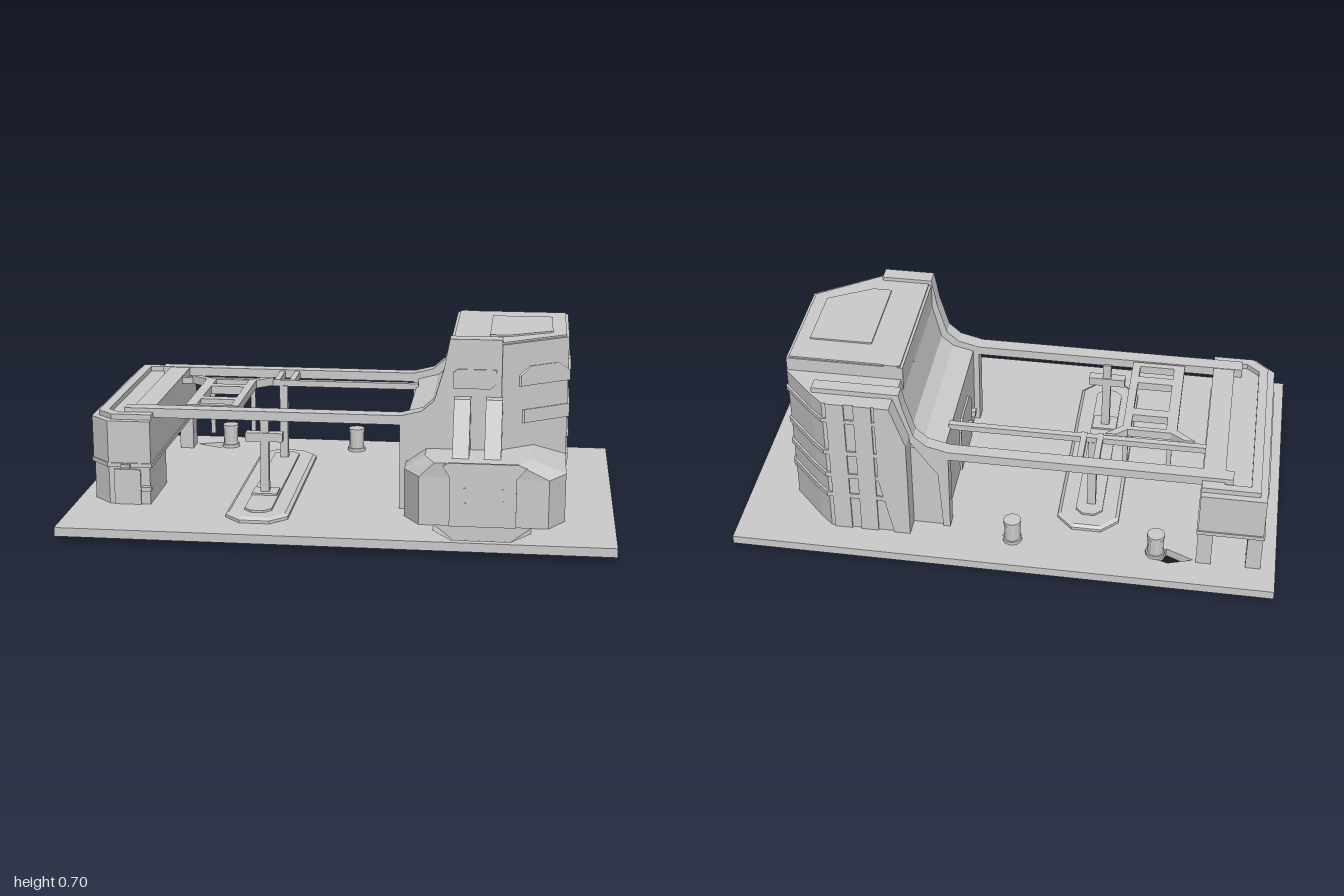
import * as THREE from 'three';

const mat = new THREE.MeshStandardMaterial({ color: 0xcccccc, flatShading: true, side: THREE.DoubleSide });

export function createModel() {
  const root = new THREE.Group();
  const add = (name, geo) => {
    const m = new THREE.Mesh(geo, mat);
    m.name = name;
    root.add(m);
    return m;
  };
  // Box given by its extents
  const box = (name, x0, x1, y0, y1, z0, z1) => add(name, new THREE.BoxGeometry(x1 - x0, y1 - y0, z1 - z0)
    .translate((x0 + x1) / 2, (y0 + y1) / 2, (z0 + z1) / 2));
  const vecs = (pts, sx = 1, sy = 1) => pts.map(([a, b]) => new THREE.Vector2(a * sx, b * sy));
  const extrude = (pts, depth, holes = []) => {
    const s = new THREE.Shape(pts);
    holes.forEach(h => s.holes.push(new THREE.Path(h)));
    return new THREE.ExtrudeGeometry(s, { depth, bevelEnabled: false });
  };
  // Plan outline [x, z] raised from y0 to y1
  const prism = (name, pts, y0, y1, holes = []) => add(name,
    extrude(vecs(pts, 1, -1), y1 - y0, holes.map(h => vecs(h, 1, -1))).rotateX(-Math.PI / 2).translate(0, y0, 0));
  // Front outline [x, y] running from z0 to z1
  const frontal = (name, pts, z0, z1) => add(name, extrude(vecs(pts), z1 - z0).translate(0, 0, z0));
  // Side outline [z, y] running from x0 to x1
  const sideways = (name, pts, x0, x1) => add(name,
    extrude(vecs(pts, -1, 1), x1 - x0).rotateY(Math.PI / 2).translate(x0, 0, 0));
  // Surface from points and triangles
  const surface = (name, pos, idx) => {
    const g = new THREE.BufferGeometry();
    g.setAttribute('position', new THREE.Float32BufferAttribute(pos.flat(), 3));
    g.setIndex(idx);
    const flat = g.toNonIndexed();
    flat.computeVertexNormals();
    return add(name, flat);
  };
  // Open-bottomed shell through stacked plan outlines (anticlockwise from above), closed by a roof
  const shell = (name, rings) => {
    const n = rings[0].pts.length, pos = [], idx = [];
    for (const r of rings) for (const [x, z] of r.pts) pos.push([x, r.y, z]);
    for (let k = 0; k < rings.length - 1; k++) for (let i = 0; i < n; i++) {
      const a = k * n + i, b = k * n + (i + 1) % n;
      idx.push(a, b, b + n, a, b + n, a + n);
    }
    const o = (rings.length - 1) * n;
    for (const f of THREE.ShapeUtils.triangulateShape(vecs(rings.at(-1).pts, 1, -1), [])) idx.push(...f.map(i => i + o));
    return surface(name, pos, idx);
  };
  const rect = (x0, x1, z0, z1) => [[x0, z1], [x1, z1], [x1, z0], [x0, z0]];
  const circle = (cx, cz, r) => Array.from({ length: 10 }, (_, i) =>
    [cx + r * Math.cos(i * Math.PI / 5), cz - r * Math.sin(i * Math.PI / 5)]);
  const G = 0.055;

  // Ground plate with openings below the hollow parts
  const hull = [[0.235, 0.35], [0.295, 0.445], [0.76, 0.445], [0.82, 0.35], [0.82, -0.335], [0.7, -0.46],
    [0.65, -0.505], [0.41, -0.505], [0.41, -0.41], [0.235, -0.41]];
  const hullHole = [[0.24, 0.35], [0.298, 0.44], [0.35, 0.44], [0.35, 0.5], [0.42, 0.6], [0.63, 0.6], [0.7, 0.5],
    [0.7, 0.44], [0.757, 0.44], [0.815, 0.35], [0.815, -0.33], [0.697, -0.455], [0.648, -0.5], [0.415, -0.5],
    [0.415, -0.405], [0.24, -0.405]];
  const island = d => [[-0.41 + d, 0.44 - d / 2], [-0.35 + d / 2, 0.5 - d], [-0.24 - d / 2, 0.5 - d], [-0.18 - d, 0.44 - d / 2],
    [-0.18 - d, -0.34 + d / 2], [-0.24 - d / 2, -0.4 + d], [-0.35 + d / 2, -0.4 + d], [-0.41 + d, -0.34 + d / 2]];
  prism('groundPlate', rect(-1, 1, -0.626, 0.626), 0.022, G, [
    hullHole, island(0.004), circle(-0.03, -0.48, 0.02),
    [[-0.7, -0.5], [-0.61, -0.53], [-0.56, -0.515], [-0.59, -0.48], [-0.6, -0.455]],
    [[-0.935, 0.255], [-0.87, 0.315], [-0.72, 0.315], [-0.72, 0.06], [-0.935, 0.06]],
    rect(-0.935, -0.905, -0.5, -0.45), rect(-0.755, -0.725, -0.5, -0.45)]);
  // Sunken entry scoop in front of the building
  surface('entryScoop', [[0.35, G, 0.44], [0.35, G, 0.5], [0.42, G, 0.6], [0.63, G, 0.6], [0.7, G, 0.5], [0.7, G, 0.44],
    [0.42, 0, 0.44], [0.63, 0, 0.44]], [0, 1, 6, 1, 2, 6, 2, 3, 7, 2, 7, 6, 3, 4, 7, 4, 5, 7, 0, 6, 7, 0, 7, 5]);

  // Lower building with its sloping shoulders
  shell('lowerHull', [{ y: G, pts: hull }, { y: 0.235, pts: hull }, { y: 0.29, pts: [[0.31, 0.36], [0.35, 0.45],
    [0.65, 0.45], [0.7, 0.37], [0.7, 0.17], [0.69, 0.16], [0.68, 0.15], [0.42, 0.15], [0.4, 0.15], [0.31, 0.15]] }]);
  frontal('frontDoor', [[0.405, G], [0.645, G], [0.645, 0.24], [0.405, 0.24]], 0.445, 0.452);
  frontal('doorHood', [[0.38, 0.28], [0.405, 0.24], [0.645, 0.24], [0.68, 0.28], [0.65, 0.292], [0.4, 0.292]], 0.445, 0.456);
  for (const x of [0.455, 0.59]) box('doorGroove', x, x + 0.008, 0.1, 0.2, 0.45, 0.455);

  // Upper tower and its lower rear block
  const tower = [[0.39, 0.265], [0.57, 0.265], [0.82, 0.09], [0.82, -0.33], [0.39, -0.33]];
  shell('tower', [{ y: 0.235, pts: tower }, { y: 0.682, pts: tower }]);
  prism('roofRim', [[0.4, 0.255], [0.565, 0.255], [0.81, 0.08], [0.81, -0.325], [0.4, -0.325]], 0.68, 0.688);
  prism('roofPanel', [[0.53, 0.14], [0.6, 0.14], [0.76, 0.05], [0.76, -0.21], [0.53, -0.21]], 0.685, 0.694);
  const rear = d => [[0.41, -0.33], [0.82 + d, -0.33], [0.82 + d, -0.335 - d], [0.7 + d, -0.46 - d],
    [0.65 + d, -0.505 - d], [0.41, -0.505 - d]];
  shell('rearBlock', [0.235, 0.63].map(y => ({ y, pts: rear(0) })));
  // Bands wrap the outside of the rear block only
  for (const [y0, y1] of [[0.548, 0.565], [0.4, 0.42], [0.295, 0.315], [0.2, 0.22]])
    prism('rearBand', [...rear(0.006).slice(1), ...rear(0).slice(1).reverse()], y0, y1);
  frontal('rearSlopedFin', [[0.35, G], [0.41, G], [0.46, 0.3], [0.46, 0.632], [0.405, 0.632], [0.35, 0.47]], -0.513, -0.41);
  for (const x of [0.47, 0.57]) box('rearPilaster', x, x + 0.065, G, 0.632, -0.512, -0.505);

  // Concave left wall, flanked by two ribs that run into the roof beams
  const sweep = d => [[0.21 + d, G], [0.21 + d, 0.41 - d], [0.29 + d, 0.43 - d], [0.335 + d, 0.47 - d], [0.37 + d, 0.59]];
  const inner = [[0.46, 0.6], [0.36, 0.36], [0.24, 0.3], [0.24, G]];
  frontal('curvedWall', [...sweep(0.022), [0.41, 0.688], [0.46, 0.688], ...inner], -0.33, 0.21);
  frontal('curvedWallRear', [...sweep(0.022), [0.398, 0.63], [0.46, 0.63], ...inner], -0.4, -0.33);
  frontal('frontRib', [...sweep(0), [0.39, 0.702], [0.58, 0.702], [0.58, 0.24], [0.236, 0.24], [0.236, G]], 0.21, 0.268);
  frontal('rearRib', [...sweep(0), [0.382, 0.65], [0.7, 0.65], [0.7, 0.6], [0.46, 0.6], [0.25, 0.3], [0.236, G]], -0.45, -0.4);
  box('rearLowerWall', 0.22, 0.41, G, 0.41, -0.44, -0.41);
  sideways('sideDoor', [[-0.12, G], [0.1, G], [0.1, 0.24], [0.06, 0.28], [-0.08, 0.28], [-0.12, 0.24]], 0.224, 0.235);
  for (const z of [0.03, 0.11]) box('doorControl', 0.208, 0.235, 0.15, 0.175, z - 0.015, z + 0.01);
  frontal('wallInset', [[0.378, 0.5], [0.385, 0.5], [0.41, 0.61], [0.393, 0.61]], -0.15, 0.13);

  // Front buttresses and panel
  for (const x of [0.41, 0.525])
    sideways('buttress', [[0.25, 0.285], [0.39, 0.285], [0.31, 0.49], [0.25, 0.49]], x, x + 0.06);
  frontal('frontPanel', [[0.405, 0.52], [0.54, 0.52], [0.56, 0.54], [0.56, 0.592], [0.42, 0.592], [0.405, 0.58]], 0.26, 0.273);

  // Right side trim; the nose pieces follow the angled face
  const trim = (pts, fold) => {
    const p = sideways('sideTrim', pts, 0.819, 0.828).geometry.attributes.position;
    if (fold) for (let i = 0; i < p.count; i++) p.setX(i, p.getX(i) - (p.getZ(i) - 0.09) * 0.25 / 0.175);
  };
  trim([[0.09, 0.52], [-0.23, 0.52], [-0.265, 0.55], [-0.265, 0.592], [-0.2, 0.592], [-0.14, 0.55],
    [-0.05, 0.55], [-0.01, 0.592], [0.05, 0.592], [0.09, 0.557]]);
  trim([[0.215, 0.52], [0.09, 0.52], [0.09, 0.557], [0.12, 0.592], [0.19, 0.592], [0.215, 0.56]], true);
  trim([[0.09, 0.38], [-0.25, 0.38], [-0.25, 0.43], [0.09, 0.43]]);
  trim([[0.205, 0.38], [0.09, 0.38], [0.09, 0.43], [0.205, 0.43]], true);
  trim([[0.09, 0.302], [-0.33, 0.302], [-0.33, 0.312], [0.09, 0.312]]);
  trim([[0.03, 0.175], [-0.02, 0.175], [-0.08, 0.195], [-0.2, 0.195], [-0.26, 0.175], [-0.33, 0.175], [-0.33, 0.22], [0.03, 0.22]]);

  // Left gatehouse: raised storey on one wide leg and two posts
  const gate = d => [[-0.945 - d, 0.26 + d / 2], [-0.87 - d / 2, 0.33 + d], [-0.71 + d, 0.33 + d],
    [-0.71 + d, -0.515 - d], [-0.945 - d, -0.515 - d]];
  prism('gatehouse', gate(0), 0.2, 0.375);
  prism('gatehouseSkirt', gate(0.005), 0.2, 0.215);
  // Stepped roof edge
  prism('gatehouseRoofRim', [[-0.92, 0.25], [-0.86, 0.305], [-0.71, 0.305], [-0.71, -0.49], [-0.92, -0.49]], 0.37, 0.395,
    [[[-0.885, 0.23], [-0.84, 0.27], [-0.79, 0.27], [-0.79, -0.46], [-0.885, -0.46]]]);
  shell('gatehouseLeg', [G, 0.2].map(y => ({ y, pts: [[-0.94, 0.26], [-0.87, 0.325], [-0.715, 0.325], [-0.715, 0.055], [-0.94, 0.055]] })));
  for (const x of [-0.945, -0.765]) shell('gatehousePost', [G, 0.2].map(y => ({ y, pts: rect(x, x + 0.055, -0.512, -0.435) })));
  box('gatehouseDoor', -0.85, -0.75, G, 0.19, 0.325, 0.332);
  box('doorLamp', -0.82, -0.785, 0.2, 0.213, 0.33, 0.348);
  box('doorLever', -0.745, -0.708, 0.11, 0.127, 0.325, 0.346);
  sideways('gatehouseWindow', [[0.2, 0.275], [-0.05, 0.275], [-0.1, 0.295], [-0.4, 0.295], [-0.4, 0.345],
    [-0.15, 0.345], [-0.1, 0.325], [0.2, 0.325]], -0.951, -0.94);

  // Roof framework spanning the two buildings
  box('frontBeam', -0.82, 0.24, 0.375, 0.41, 0.21, 0.265);
  box('rearBeam', -0.82, 0.24, 0.375, 0.41, -0.45, -0.4);
  box('endBeam', -0.79, -0.71, 0.375, 0.408, -0.4, 0.21);
  box('innerBeam', -0.71, 0.24, 0.378, 0.402, -0.277, -0.253);
  for (const x of [-0.335, -0.275]) box('linkBeam', x, x + 0.022, 0.378, 0.405, -0.4, -0.25);
  prism('ladderFrame', [[-0.6, 0.2], [-0.4, 0.2], [-0.4, -0.2], [-0.34, -0.255], [-0.38, -0.255], [-0.42, -0.22],
    [-0.58, -0.22], [-0.63, -0.255], [-0.67, -0.255], [-0.6, -0.2]], 0.38, 0.412,
    [rect(-0.56, -0.43, -0.2, -0.13), rect(-0.56, -0.43, -0.09, 0.07), rect(-0.56, -0.43, 0.11, 0.175)]);
  box('ladderFoot', -0.52, -0.48, 0.38, 0.405, 0.195, 0.215);
  for (const x of [-0.585, -0.422]) box('hangingRod', x, x + 0.018, 0.19, 0.385, -0.215, -0.197);

  // Central island with a pole at each end, the front one carrying a crossbar
  shell('island', [{ y: 0.022, pts: island(0) }, { y: 0.066, pts: island(0) }, { y: 0.075, pts: island(0.012) },
    { y: 0.075, pts: island(0.065) }, { y: 0.083, pts: island(0.065) }]);
  for (const z of [0.215, -0.265]) box('pole', -0.315, -0.283, 0.08, 0.38, z - 0.014, z + 0.014);
  box('polePlinth', -0.345, -0.25, 0.083, 0.09, 0.175, 0.255);
  box('poleCrossbar', -0.37, -0.23, 0.285, 0.318, 0.197, 0.233);

  // Bollards behind the framework
  for (const x of [-0.56, -0.03]) {
    for (const [r, y0, y1] of [[0.036, G, 0.068], [0.03, 0.065, 0.14], [0.033, 0.135, 0.15]])
      add('bollard', new THREE.CylinderGeometry(r, r, y1 - y0, 12).translate(x, (y0 + y1) / 2, -0.484));
  }
  return root;
}
